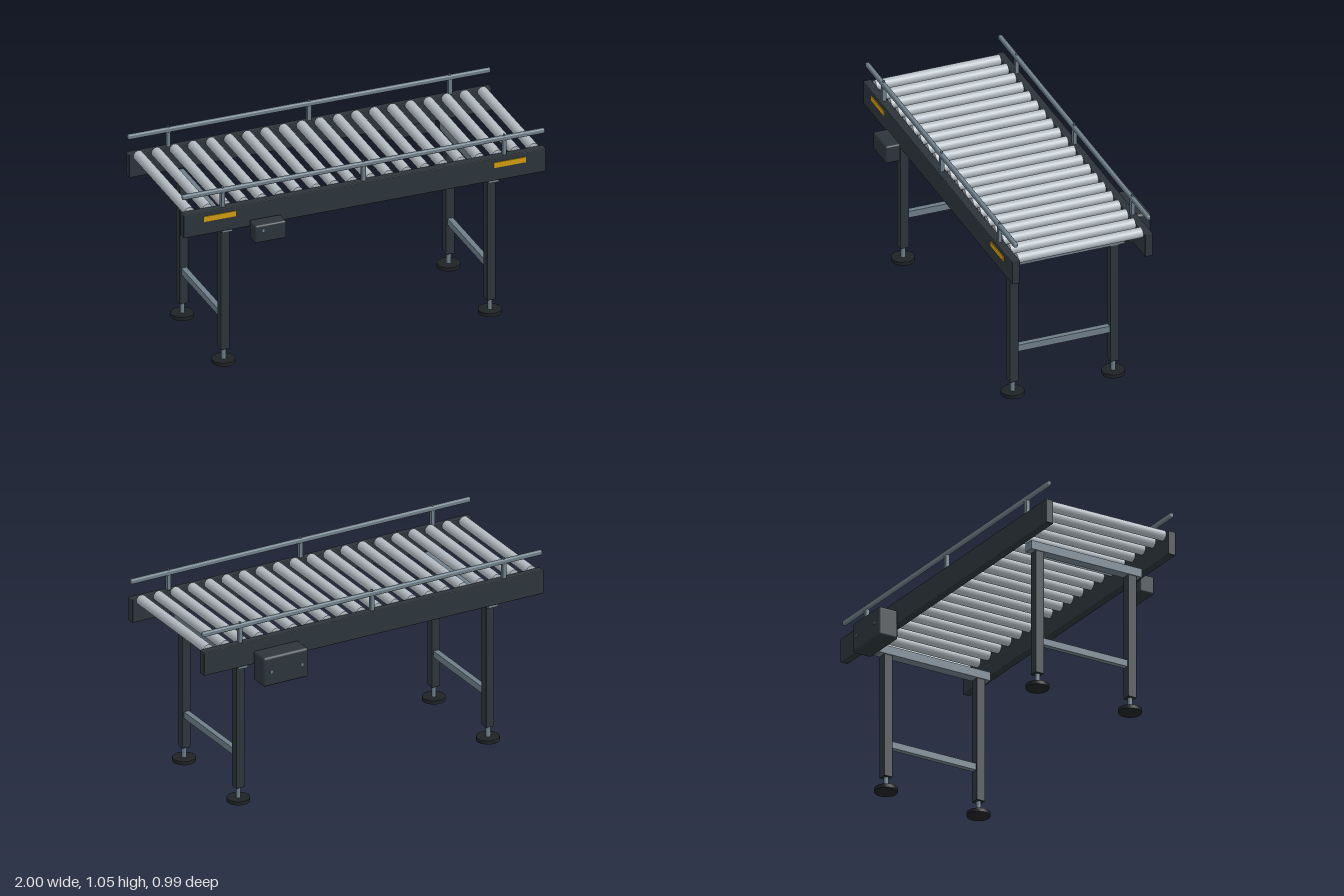
import * as THREE from 'three';
import { RoundedBoxGeometry } from 'three/addons/geometries/RoundedBoxGeometry.js';

const material = (name, color) => {
  const m = new THREE.MeshStandardMaterial({ color });
  m.name = name;
  return m;
};

export function createModel() {
  const frame = material('dark frame paint', 0x2c353b);
  const steel = material('grey steel', 0x6e7e89);
  const rollerMetal = material('roller metal', 0xb4bdc3);
  const rubber = material('black rubber', 0x1f2326);
  const yellow = material('warning yellow', 0xd19c10);

  const model = new THREE.Group();
  model.name = 'rollerConveyor';

  const add = (name, geometry, mat, x, y, z) => {
    const mesh = new THREE.Mesh(geometry, mat);
    mesh.name = name;
    mesh.position.set(x, y, z);
    model.add(mesh);
    return mesh;
  };
  const box = (w, h, d, r = 0) =>
    r ? new RoundedBoxGeometry(w, h, d, 3, r) : new THREE.BoxGeometry(w, h, d);
  const cyl = (r, h, n = 24) => new THREE.CylinderGeometry(r, r, h, n);

  const midZ = 0.012; // centre line of the roller bed

  // Side frames with guard rails on posts
  for (const [side, s] of [['front', 1], ['back', -1]]) {
    const z = midZ + s * 0.367;
    add(side + 'SideFrame', box(2, 0.132, 0.043, 0.004), frame, 0, 0.874, z);
    add(side + 'GuardRail', box(2, 0.026, 0.022, 0.007), steel, 0, 1.033, z);
    for (const x of [-0.777, 0, 0.777]) {
      add(side + 'GuardPost', box(0.021, 0.085, 0.021), steel, x, 0.98, z);
      add(side + 'PostBolt', cyl(0.006, 0.014, 12), steel, x, 1.048, z);
    }
  }

  // Rollers
  const rollerGeometry = cyl(0.0275, 0.69).rotateX(Math.PI / 2);
  for (let i = 0; i < 20; i++) {
    add('roller', rollerGeometry, rollerMetal, -0.95 + i * 0.1, 0.929, midZ);
  }

  // Leg stands: top beam, brace, two legs with adjustable feet
  for (const x of [-0.735, 0.735]) {
    add('topBeam', box(0.056, 0.047, 0.663), steel, x, 0.79, midZ);
    add('lowerBrace', box(0.03, 0.037, 0.51), steel, x, 0.268, midZ);
    for (const s of [1, -1]) {
      const z = midZ + s * 0.278;
      add('leg', box(0.049, 0.687, 0.049, 0.003), frame, x, 0.423, z);
      add('footStem', cyl(0.0125, 0.07, 16), steel, x, 0.05, z);
      add('footPad', cyl(0.061, 0.02, 32), rubber, x, 0.01, z);
    }
  }

  // Control box on the front
  const boltGeometry = cyl(0.008, 0.012, 12).rotateX(Math.PI / 2);
  add('controlBox', box(0.173, 0.099, 0.083, 0.01), frame, -0.556, 0.8025, 0.4525);
  add('controlButton', boltGeometry, steel, -0.6, 0.822, 0.491);

  // Motor housing on the back
  add('motorHousing', box(0.267, 0.164, 0.114, 0.015), frame, 0.5775, 0.801, -0.429);
  for (const x of [0.487, 0.668]) {
    add('motorBolt', boltGeometry, steel, x, 0.801, -0.486);
  }

  // Warning plates on the front frame
  for (const x of [-0.8, 0.8]) {
    add('warningPlate', box(0.177, 0.03, 0.006), yellow, x, 0.898, 0.402);
  }

  return model;
}
